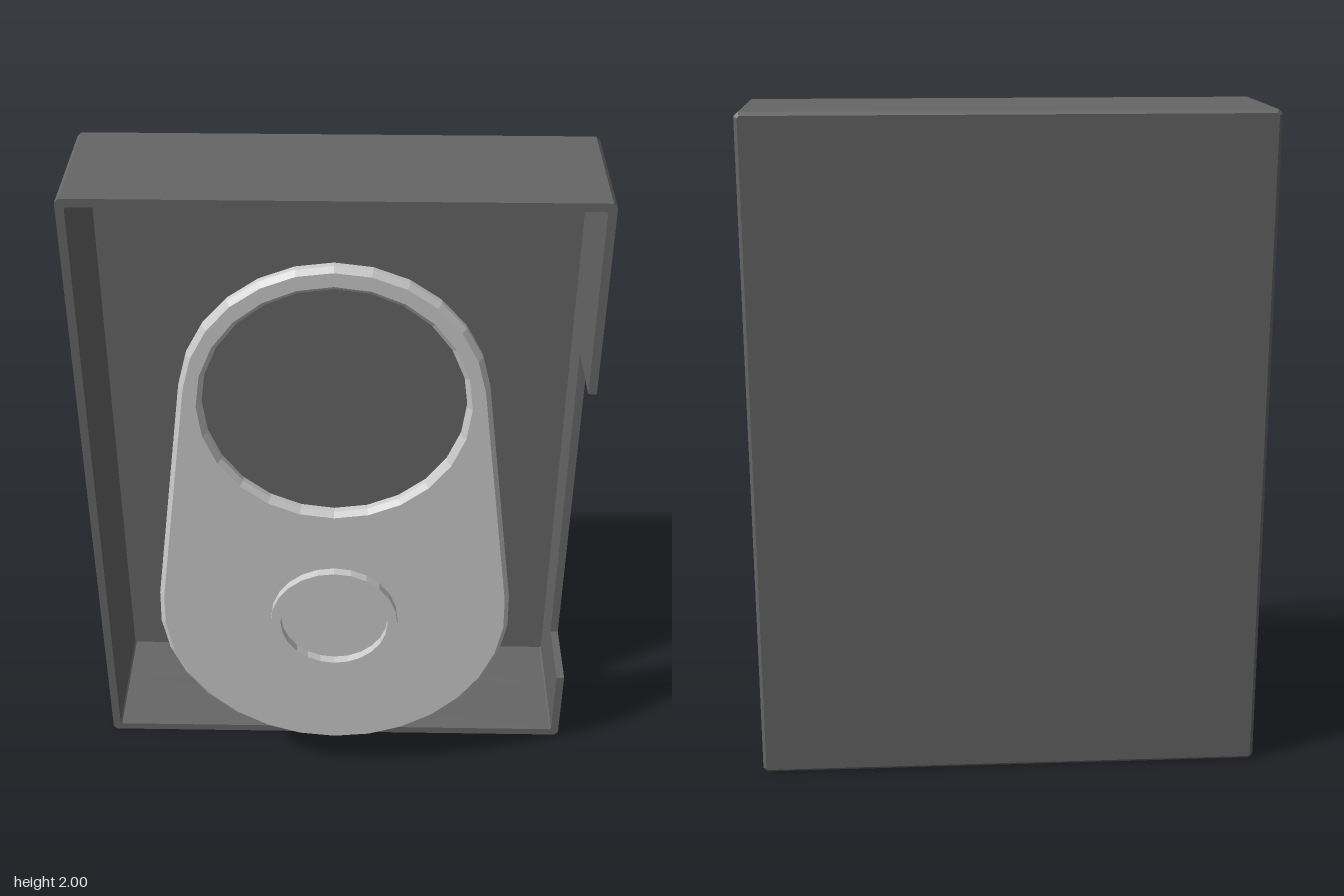
import * as THREE from 'three';

const W = 0.76, H = 2, WALL = 0.025, BACK = -0.32, FRONT = 0.12;
const NOTCH = { bottom: 0.265, top: 1.39, z: -0.11 };

const dark = new THREE.MeshStandardMaterial({ color: 0x666666 });
const grey = new THREE.MeshStandardMaterial({ color: 0xcccccc });

// Extrude a shape between two z values, with an optional chamfer inside that span
function slab(name, shape, z0, z1, material, bevel = 0) {
  const geometry = new THREE.ExtrudeGeometry(shape, {
    depth: z1 - z0 - 2 * bevel, curveSegments: 12, bevelEnabled: bevel > 0,
    bevelThickness: bevel, bevelSize: bevel, bevelOffset: -bevel, bevelSegments: 1,
  });
  geometry.translate(0, 0, z0 + bevel);
  const mesh = new THREE.Mesh(geometry, material);
  mesh.name = name;
  return mesh;
}

// Upright rectangle with small chamfered corners
function rectangle(x, y0, y1, c) {
  return [[x - c, y0], [x, y0 + c], [x, y1 - c], [x - c, y1],
    [c - x, y1], [-x, y1 - c], [-x, y0 + c], [c - x, y0]]
    .map(([px, py]) => new THREE.Vector2(px, py));
}

function circle(y, r, segments = 24) {
  return Array.from({ length: segments }, (_, i) => {
    const a = (i / segments) * Math.PI * 2;
    return new THREE.Vector2(r * Math.cos(a), y + r * Math.sin(a));
  });
}

// Open-fronted tray with a cut-out in its left wall
function createTray() {
  const tray = new THREE.Group();
  tray.name = 'tray';
  const outer = rectangle(W, 0, H, 0.012);
  const inner = rectangle(W - WALL, WALL, H - WALL, 0.005);

  tray.add(slab('backPanel', new THREE.Shape(outer), BACK, BACK + WALL, dark, 0.01));

  const ring = new THREE.Shape(outer);
  ring.holes.push(new THREE.Path(inner));
  tray.add(slab('rearWalls', ring, BACK + 0.012, NOTCH.z, dark));

  // Front part of the walls: a ring interrupted by the cut-out
  const at = (x, y) => new THREE.Vector2(x, y);
  const open = [
    at(W, NOTCH.top), ...outer.slice(2), ...outer.slice(0, 2), at(W, NOTCH.bottom),
    at(W - WALL, NOTCH.bottom), ...inner.slice(0, 2).reverse(),
    ...inner.slice(2).reverse(), at(W - WALL, NOTCH.top),
  ];
  tray.add(slab('frontWalls', new THREE.Shape(open), NOTCH.z, FRONT, dark));
  return tray;
}

// Tag plate: the hull of a small upper and a large lower circle, with a round hole
function createTag() {
  const tag = new THREE.Group();
  tag.name = 'tag';
  const top = { y: 1.45, r: 0.44 }, low = { y: 0.68, r: 0.54 };
  const tilt = Math.asin((low.r - top.r) / (top.y - low.y));
  const outline = [];
  const arc = ({ y, r }, from, to, n) => {
    for (let i = 0; i <= n; i++) {
      const a = from + ((to - from) * i) / n;
      outline.push(new THREE.Vector2(r * Math.cos(a), y + r * Math.sin(a)));
    }
  };
  arc(top, tilt, Math.PI - tilt, 12);
  arc(low, Math.PI - tilt, 2 * Math.PI + tilt, 16);
  const plate = new THREE.Shape(outline);
  plate.holes.push(new THREE.Path(circle(1.445, 0.375)));
  tag.add(slab('tagPlate', plate, 0.245, 0.292, grey, 0.014));

  // Raised rim around the button
  const rim = new THREE.Shape(circle(0.67, 0.195));
  rim.holes.push(new THREE.Path(circle(0.67, 0.165)));
  tag.add(slab('buttonRim', rim, 0.285, 0.32, grey));
  return tag;
}

export function createModel() {
  const model = new THREE.Group();
  model.name = 'packagedTag';
  model.add(createTray(), createTag());
  return model;
}
